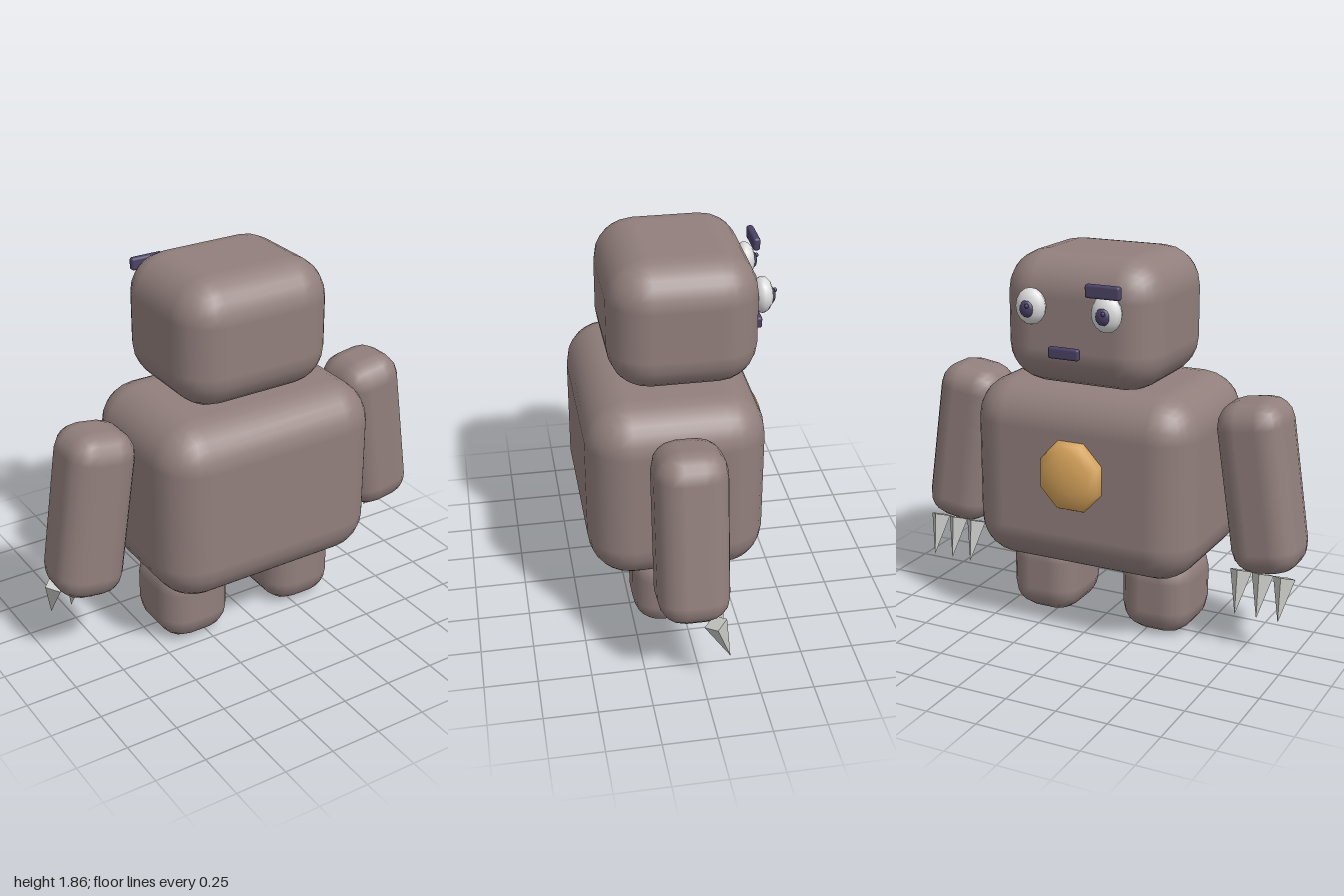
import * as THREE from 'three';
import { RoundedBoxGeometry } from 'three/addons/geometries/RoundedBoxGeometry.js';

const mat = (name, color, flatShading = false) => {
  const m = new THREE.MeshStandardMaterial({ color, flatShading });
  m.name = name;
  return m;
};

export function createModel() {
  const stone = mat('stone brown', 0x917f7c);
  const amber = mat('amber', 0xd9a55c);
  const claw = mat('claw grey', 0xc6c6c3, true);
  const white = mat('eye white', 0xdcdddc);
  const dark = mat('dark violet', 0x4b4266);

  const model = new THREE.Group();
  model.name = 'golem';

  const add = (name, geometry, material, x, y, z) => {
    const mesh = new THREE.Mesh(geometry, material);
    mesh.name = name;
    mesh.position.set(x, y, z);
    model.add(mesh);
    return mesh;
  };
  const block = (w, h, d, r, seg = 3) => new RoundedBoxGeometry(w, h, d, seg, r);
  const ball = (rx, ry, rz, u = 12, v = 8) => new THREE.SphereGeometry(1, u, v).scale(rx, ry, rz);

  // Torso and head
  add('body', block(1.14, 0.9, 0.83, 0.2), stone, 0, 0.79, 0.045);
  add('head', block(0.79, 0.62, 0.69, 0.19), stone, 0, 1.545, -0.015);

  // Round chest plate
  const plate = new THREE.SphereGeometry(1, 8, 8).rotateX(Math.PI / 2).rotateZ(Math.PI / 8).scale(0.17, 0.18, 0.075);
  add('chestPlate', plate, amber, 0, 0.84, -0.37);

  for (const s of [-1, 1]) {
    const side = s > 0 ? 'left' : 'right';

    // Limbs
    const arm = add(side + 'Arm', block(0.335, 0.83, 0.33, 0.12, 2), stone, s * 0.787, 0.793, 0.045);
    arm.rotation.z = s * 0.148;
    add(side + 'Leg', block(0.365, 0.41, 0.405, 0.13, 2), stone, s * 0.302, 0.205, 0.047);

    // Three claws pointing down and forward
    [0.725, 0.832, 0.938].forEach((x, i) => {
      const c = add(side + 'Claw' + (i + 1), new THREE.ConeGeometry(0.054, 0.21, 4), claw, s * x, 0.289, -0.08);
      c.rotation.x = Math.PI + 0.345;
    });

    // Eyes
    add(side + 'Eye', ball(0.075, 0.085, 0.05), white, s * 0.19, 1.625, -0.383);
    add(side + 'Pupil', ball(0.036, 0.04, 0.022), dark, s * 0.19, 1.62, -0.422);
    add(side + 'PupilDot', ball(0.011, 0.011, 0.011, 6, 4), dark, s * 0.19 - 0.012, 1.637, -0.444);
  }

  // Single brow and mouth, set just off the face
  add('brow', block(0.17, 0.062, 0.034, 0.012, 2), dark, -0.193, 1.73, -0.424);
  add('mouth', block(0.155, 0.055, 0.03, 0.012, 2), dark, 0.015, 1.428, -0.4);

  return model;
}
